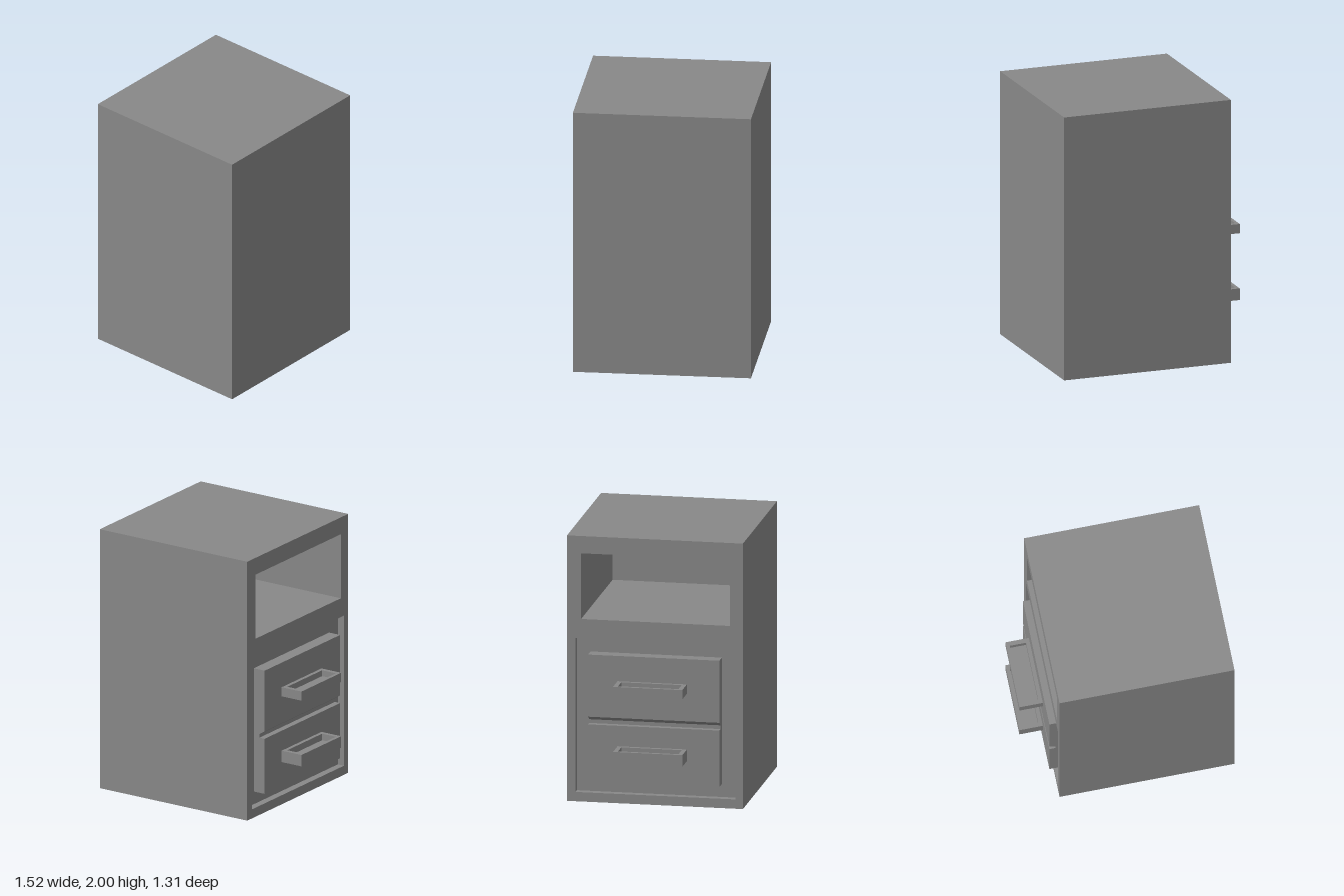
import * as THREE from 'three';

const grey = new THREE.MeshStandardMaterial({ color: 0x888888 });

function add(parent, name, geometry) {
  const mesh = new THREE.Mesh(geometry, grey);
  mesh.name = name;
  parent.add(mesh);
  return mesh;
}

// Traces a rectangle onto a Shape or Path
function rect(path, x0, y0, x1, y1) {
  path.moveTo(x0, y0);
  path.lineTo(x1, y0);
  path.lineTo(x1, y1);
  path.lineTo(x0, y1);
  path.closePath();
  return path;
}

// Slab of the cabinet between two x positions, pierced by rectangular holes
function slab(x0, x1, holes) {
  const shape = rect(new THREE.Shape(), -0.655, 0, 0.655, 2);
  for (const h of holes) shape.holes.push(rect(new THREE.Path(), ...h));
  return new THREE.ExtrudeGeometry(shape, { depth: x1 - x0, bevelEnabled: false })
    .rotateY(Math.PI / 2)
    .translate(x0, 0, 0);
}

// Tray-shaped pull: hollow rim above a solid floor
function makeHandle(name, bottom, top, pocket) {
  const handle = new THREE.Group();
  handle.name = name;
  const rim = rect(new THREE.Shape(), -0.762, -0.27, -0.58, 0.246);
  rim.holes.push(rect(new THREE.Path(), -0.737, -0.237, -0.615, 0.213));
  add(handle, 'handleRim',
    new THREE.ExtrudeGeometry(rim, { depth: pocket, bevelEnabled: false })
      .rotateX(Math.PI / 2).translate(0, top, 0));
  const floorHeight = top - pocket - bottom;
  add(handle, 'handleFloor',
    new THREE.BoxGeometry(0.182, floorHeight, 0.516)
      .translate(-0.671, bottom + floorHeight / 2, -0.012));
  return handle;
}

export function createModel() {
  const model = new THREE.Group();
  model.name = 'bedsideCabinet';

  // Cabinet body: shallow drawer recess, deep open shelf, closed back
  const shelf = [-0.56, 1.375, 0.55, 1.87];
  const recess = [-0.6, 0.07, 0.593, 1.23];
  const body = new THREE.Group();
  body.name = 'cabinetBody';
  add(body, 'frontFrame', slab(-0.545, -0.49, [shelf, recess]));
  add(body, 'shelfSection', slab(-0.49, 0.66, [shelf]));
  add(body, 'backPanel', slab(0.66, 0.76, []));
  model.add(body);

  // Pair of drawer fronts with a sloped groove between them
  const profile = new THREE.Shape([
    [-0.48, 0.168], [-0.48, 1.12], [-0.587, 1.12], [-0.587, 0.652],
    [-0.541, 0.622], [-0.541, 0.594], [-0.587, 0.594], [-0.587, 0.168],
  ].map(([x, y]) => new THREE.Vector2(x, y)));
  add(model, 'drawerFronts',
    new THREE.ExtrudeGeometry(profile, { depth: 0.978, bevelEnabled: false })
      .translate(0, 0, -0.49));

  // Handles
  model.add(makeHandle('upperHandle', 0.86, 0.93, 0.045));
  model.add(makeHandle('lowerHandle', 0.352, 0.44, 0.05));

  return model;
}
